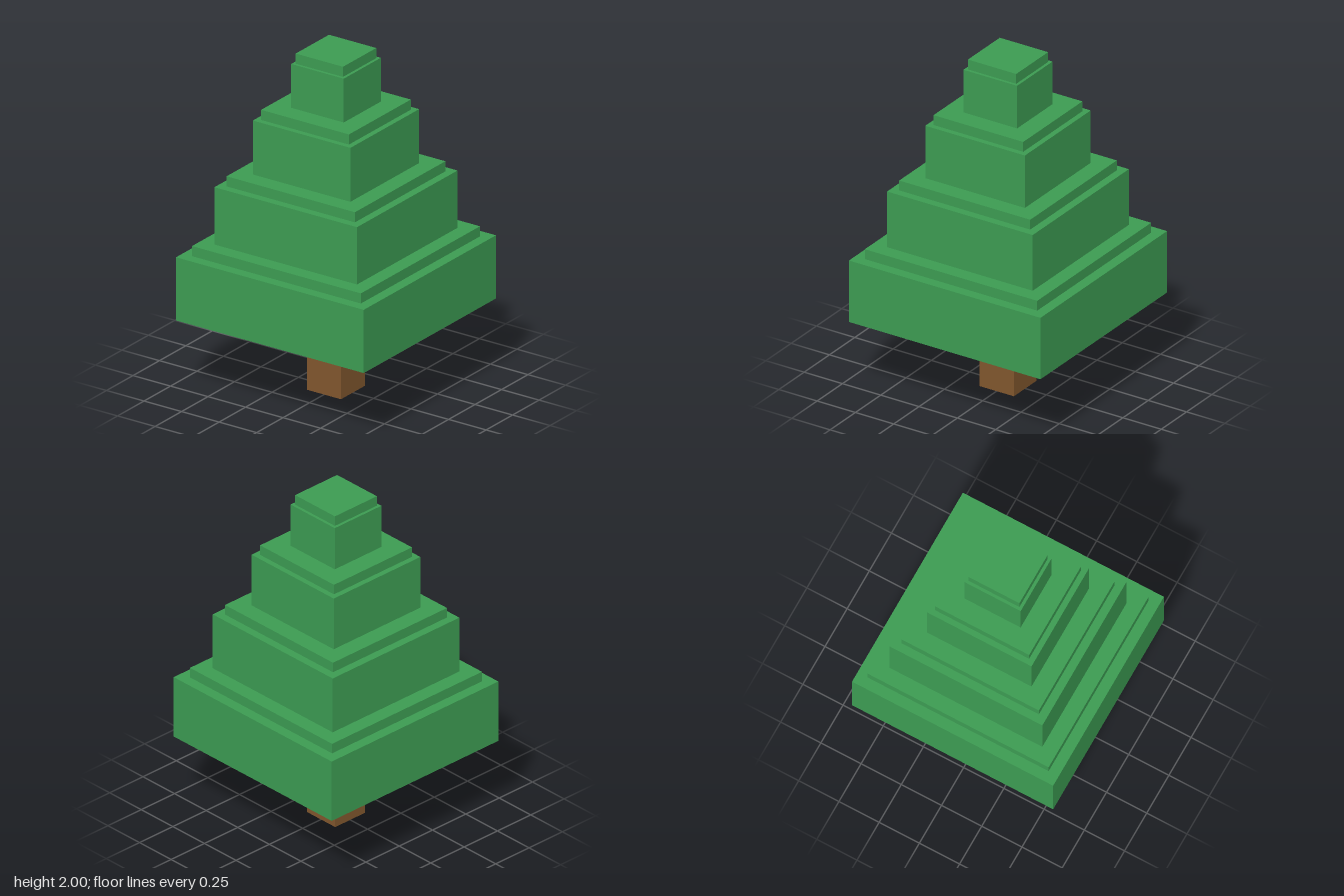
import * as THREE from 'three';

export function createModel() {
  const tree = new THREE.Group();
  tree.name = 'blockyPineTree';

  const leafGreen = new THREE.MeshStandardMaterial({ color: 0x3c9b52 });
  leafGreen.name = 'leafGreen';
  const barkBrown = new THREE.MeshStandardMaterial({ color: 0x80562d });
  barkBrown.name = 'barkBrown';

  // Square block spanning bottom to top, centred on the trunk axis
  function addBlock(parent, name, width, bottom, top, material) {
    const mesh = new THREE.Mesh(new THREE.BoxGeometry(width, top - bottom, width), material);
    mesh.position.y = (bottom + top) / 2;
    mesh.name = name;
    parent.add(mesh);
  }

  addBlock(tree, 'trunk', 0.225, 0, 0.465, barkBrown);

  // Foliage tiers: [width, bottom, shoulder height], each topped by a narrower cap
  const capHeight = 0.06;
  const capScale = 0.9;
  const tiers = [
    [1.25, 0.465, 0.84],
    [0.95, 0.9, 1.24],
    [0.65, 1.3, 1.62],
    [0.35, 1.68, 1.94],
  ];
  tiers.forEach(([width, bottom, shoulder], i) => {
    const tier = new THREE.Group();
    tier.name = `foliageTier${i + 1}`;
    addBlock(tier, 'foliageBlock', width, bottom, shoulder, leafGreen);
    addBlock(tier, 'foliageCap', width * capScale, shoulder, shoulder + capHeight, leafGreen);
    tree.add(tier);
  });

  return tree;
}
